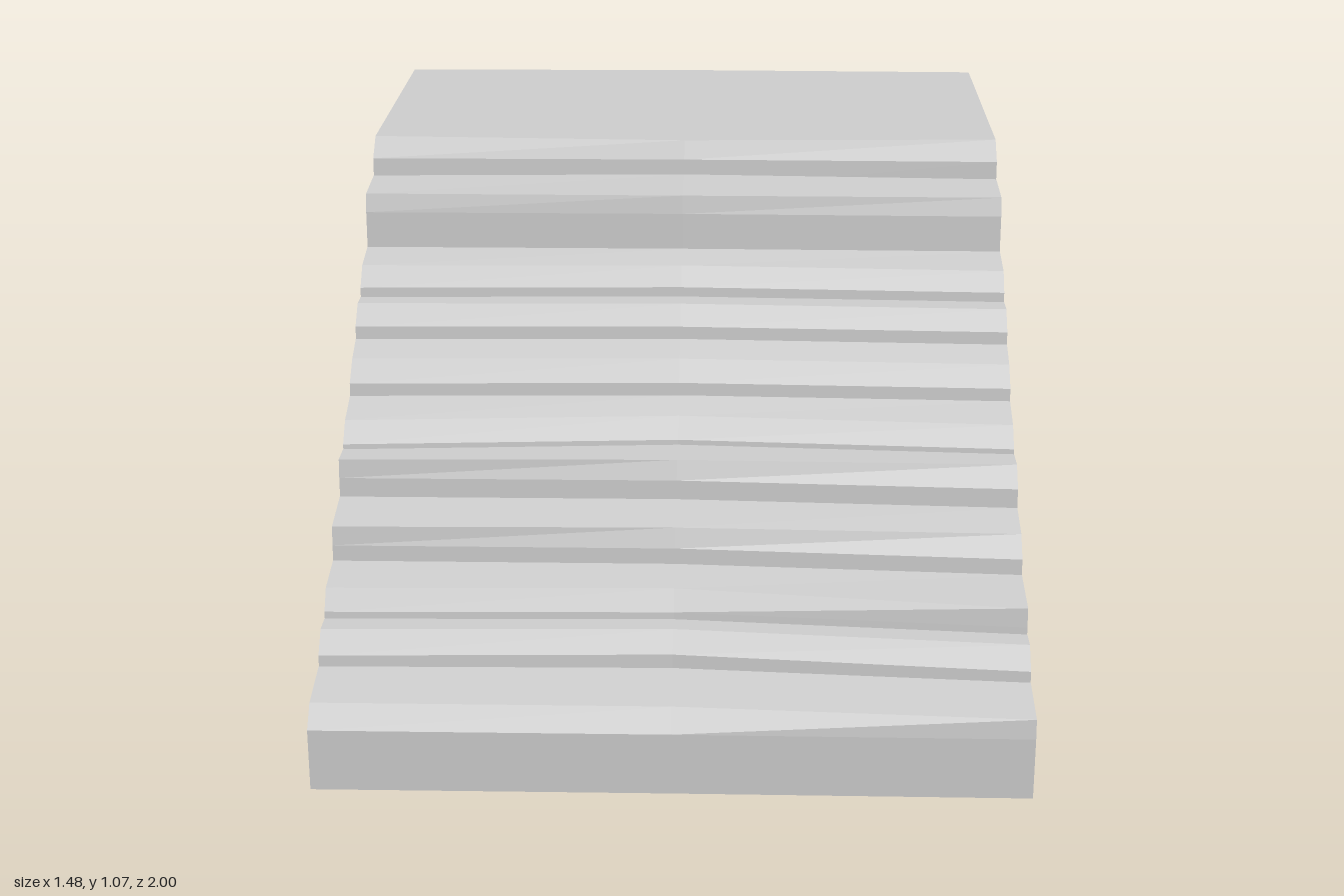
import * as THREE from 'three';

const XS = [-0.74, 0, 0.74]; // cross-section stations across the width
const THICK = 0.042;

// Joins one [z, y] profile per station into a flat-shaded skin; closed profiles also get end caps.
function loft(name, profiles, closed) {
  const pos = [];
  const point = (s, i) => [XS[s], profiles[s][i][1], profiles[s][i][0]];
  const quad = (a, b, c, d) => pos.push(...a, ...b, ...c, ...a, ...c, ...d);
  const n = profiles[0].length;
  for (let s = 0; s < XS.length - 1; s++) {
    for (let i = 0; i < (closed ? n : n - 1); i++) {
      const j = (i + 1) % n;
      quad(point(s, i), point(s + 1, i), point(s + 1, j), point(s, j));
    }
  }
  if (closed) {
    const e = XS.length - 1;
    quad(point(0, 0), point(0, 1), point(0, 2), point(0, 3));
    quad(point(e, 3), point(e, 2), point(e, 1), point(e, 0));
  }
  const geometry = new THREE.BufferGeometry();
  geometry.setAttribute('position', new THREE.Float32BufferAttribute(pos, 3));
  geometry.computeVertexNormals();
  const material = new THREE.MeshStandardMaterial({
    color: 0xcccccc, flatShading: true, side: THREE.DoubleSide,
  });
  const mesh = new THREE.Mesh(geometry, material);
  mesh.name = name;
  return mesh;
}

// Worn treads: z of the lower front edge and of the nosing (at each station),
// height of the lower front edge, and rise of the tread towards its back.
const STEPS = [
  { front: [0.997, 0.997, 1.0], nose: [0.955, 0.955, 0.995], y: 0.135, rise: 0.022 },
  { front: [0.83, 0.82, 0.87], nose: [0.79, 0.785, 0.83], y: 0.222, rise: 0 },
  { front: [0.735, 0.733, 0.777], nose: [0.705, 0.703, 0.773], y: 0.278, rise: 0.018 },
  { front: [0.6, 0.613, 0.64], nose: [0.595, 0.597, 0.6], y: 0.372, rise: 0.022 },
  { front: [0.475, 0.487, 0.505], nose: [0.47, 0.47, 0.465], y: 0.478, rise: 0 },
  { front: [0.405, 0.375, 0.4], nose: [0.365, 0.335, 0.36], y: 0.53, rise: 0.028 },
  { front: [0.28, 0.275, 0.28], nose: [0.23, 0.23, 0.235], y: 0.628, rise: 0.026 },
  { front: [0.165, 0.165, 0.17], nose: [0.12, 0.125, 0.13], y: 0.724, rise: 0 },
  { front: [0.07, 0.067, 0.073], nose: [0.03, 0.033, 0.04], y: 0.787, rise: 0.018 },
  { front: [-0.063, -0.045, -0.06], nose: [-0.075, -0.052, -0.073], y: 0.93, rise: 0.01 },
  { front: [-0.205, -0.21, -0.205], nose: [-0.255, -0.23, -0.255], y: 1.023, rise: 0 },
];
const BACK = [-0.99, -1, -0.99]; // rear edge of the landing
const DENT = [-0.983, -0.962, -0.983]; // lower part of the back wall

export function createModel() {
  const group = new THREE.Group();
  group.name = 'staircase';

  // Riser from the ground to the first tread
  let foot = XS.map((_, s) => [STEPS[0].front[s], 0]);

  STEPS.forEach((step, k) => {
    const next = STEPS[k + 1];
    // Tread slab, or the landing for the last entry
    const slab = XS.map((_, s) => {
      const lift = next && s === 1 && k > 0 ? 0.006 : 0;
      const y = step.y + lift;
      const back = next ? next.front[s] + 0.004 : BACK[s];
      return [
        [step.front[s], y],
        [step.nose[s], y + THICK],
        [back, y + THICK + step.rise],
        [back, y + step.rise],
      ];
    });
    // Thin riser below the slab
    group.add(loft('riser' + (k + 1), slab.map((p, s) => [foot[s], p[0]]), false));
    group.add(loft(next ? 'tread' + (k + 1) : 'landing', slab, true));
    foot = slab.map((p) => p[3]);
  });

  // Bent back wall under the landing
  const wall = XS.map((_, s) => [[BACK[s], 1.065], [BACK[s], 1.02], [DENT[s], 0.73], [DENT[s], 0]]);
  group.add(loft('backWall', wall, false));
  return group;
}
